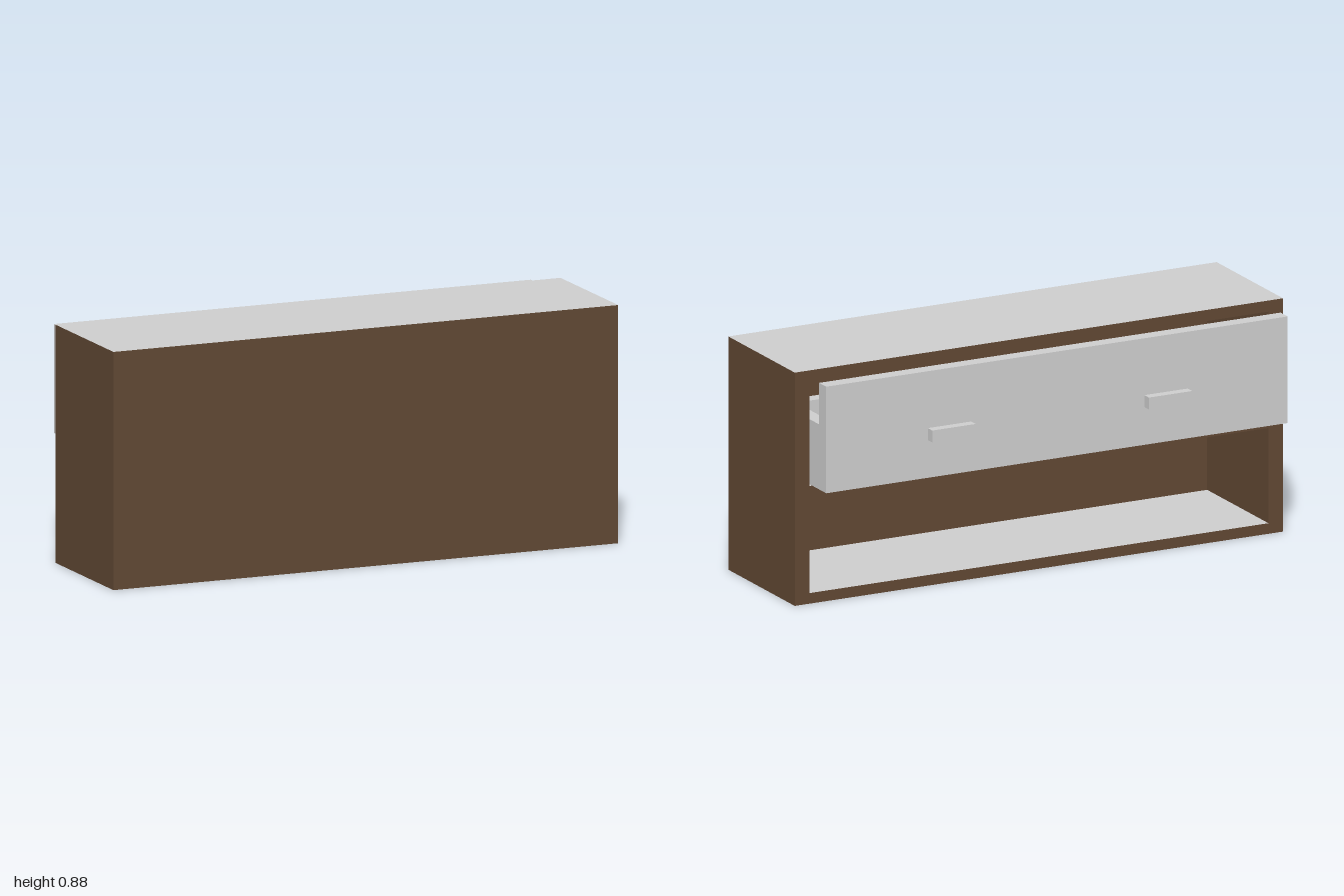
import * as THREE from 'three';

export function createModel() {
  const brown = new THREE.MeshStandardMaterial({ name: 'brown wood', color: 0x604733 });
  const grey = new THREE.MeshStandardMaterial({ name: 'light grey', color: 0xcccccc });
  // brown board with a grey upper face (box groups: +x, -x, +y, -y, +z, -z)
  const greyTopped = [brown, brown, grey, brown, brown, brown];

  const model = new THREE.Group();
  model.name = 'cabinet';

  // box given by its extents on each axis
  function board(parent, name, [x0, x1], [y0, y1], [z0, z1], material) {
    const mesh = new THREE.Mesh(new THREE.BoxGeometry(x1 - x0, y1 - y0, z1 - z0), material);
    mesh.position.set((x0 + x1) / 2, (y0 + y1) / 2, (z0 + z1) / 2);
    mesh.name = name;
    parent.add(mesh);
  }

  // Carcass, open towards -z
  const carcass = new THREE.Group();
  carcass.name = 'carcass';
  model.add(carcass);
  const inner = [-0.94, 0.94], depth = [-0.175, 0.3];
  board(carcass, 'topBoard', [-1, 1], [0.84, 0.882], [-0.175, 0.34], greyTopped);
  board(carcass, 'closedPanel', [-1, 1], [0, 0.84], [0.3, 0.34], brown);
  board(carcass, 'leftWall', [0.94, 1], [0, 0.84], depth, brown);
  board(carcass, 'rightWall', [-1, -0.94], [0, 0.84], depth, brown);
  board(carcass, 'bottomBoard', inner, [0, 0.04], depth, greyTopped);
  board(carcass, 'shelf', inner, [0.4, 0.445], depth, greyTopped);

  // Drawer, pulled partly out
  const drawer = new THREE.Group();
  drawer.name = 'drawer';
  model.add(drawer);
  const x0 = -0.95, x1 = 0.94;
  board(drawer, 'drawerFace', [x0, x1], [0.452, 0.855], [-0.305, -0.25], grey);
  board(drawer, 'drawerFloor', [x0 + 0.055, x1 - 0.055], [0.452, 0.5], [-0.25, 0.03], grey);
  board(drawer, 'drawerRightSide', [x0, x0 + 0.055], [0.452, 0.698], [-0.25, 0.08], grey);
  board(drawer, 'drawerLeftSide', [x1 - 0.055, x1], [0.452, 0.698], [-0.25, 0.08], grey);
  board(drawer, 'drawerEnd', [x0 + 0.055, x1 - 0.055], [0.452, 0.698], [0.03, 0.08], grey);

  // Pulls
  for (const x of [-0.452, 0.435]) {
    board(drawer, 'handle', [x - 0.089, x + 0.089], [0.595, 0.64], [-0.34, -0.305], grey);
  }
  return model;
}
